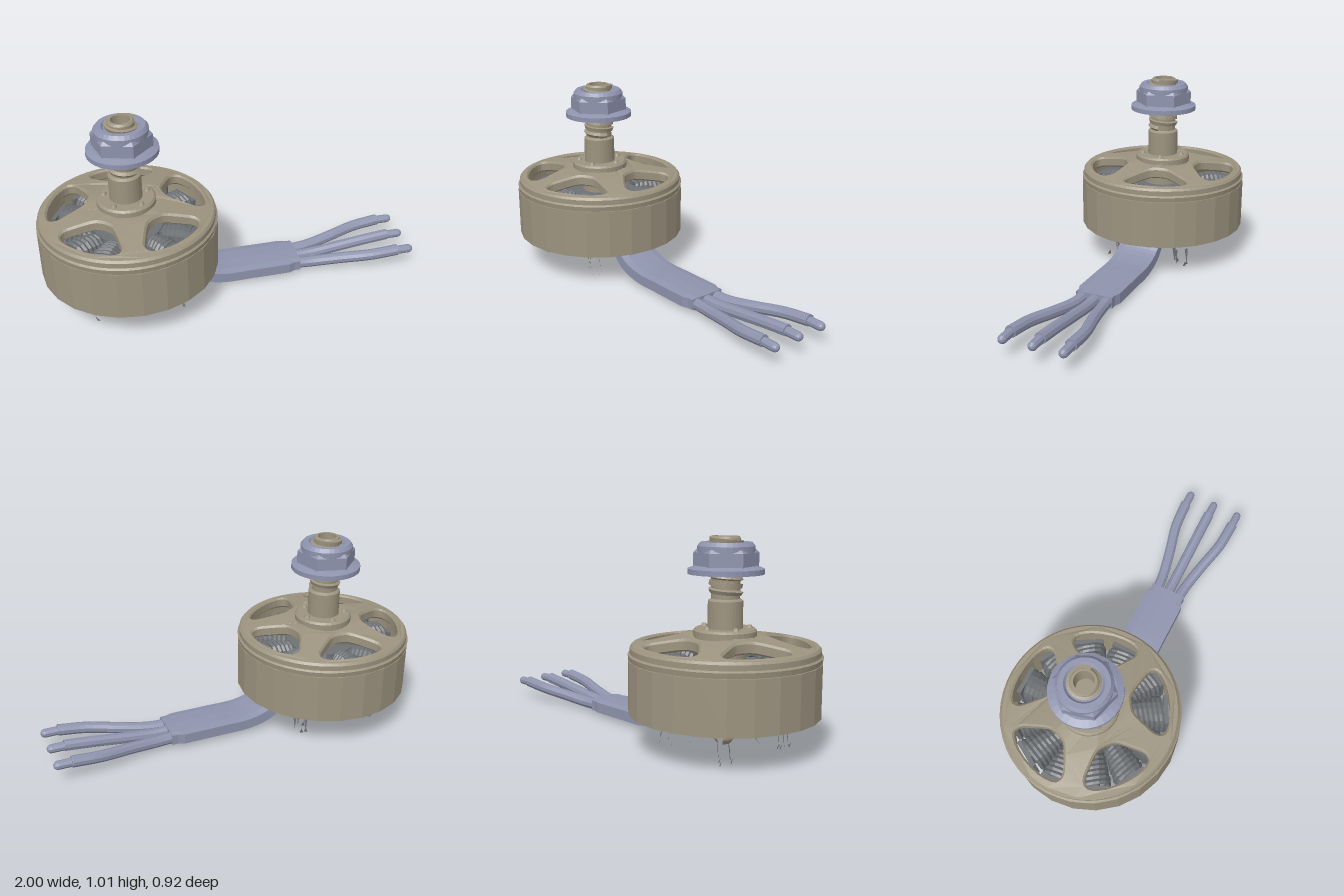
import * as THREE from 'three';
import { mergeGeometries } from 'three/addons/utils/BufferGeometryUtils.js';

const mat = (color, side = THREE.FrontSide) =>
  new THREE.MeshStandardMaterial({ color, flatShading: true, side });
const V = (x, y, z) => new THREE.Vector3(x, y, z);

export function createModel() {
  const model = new THREE.Group();
  const motor = new THREE.Group();
  motor.name = 'motor';
  motor.position.x = -0.54;
  model.add(motor);

  const metal = mat(0x9c937f), blue = mat(0x8e93ad), blueOpen = mat(0x8e93ad, THREE.DoubleSide);
  const dark = mat(0x6e7174), shardMat = mat(0x6e7174, THREE.DoubleSide);

  const add = (parent, name, geo, material) => {
    const m = new THREE.Mesh(geo, material);
    m.name = name;
    parent.add(m);
    return m;
  };
  const lathe = (pts, seg) => new THREE.LatheGeometry(pts.map(p => new THREE.Vector2(...p)), seg);

  // Rotor can and its upper rim
  add(motor, 'rotorCan', lathe([[0.42, 0.18], [0.46, 0.18], [0.46, 0.435], [0.42, 0.435], [0.42, 0.18]], 24), metal);
  add(motor, 'rotorRim', lathe([[0.41, 0.43], [0.456, 0.437], [0.46, 0.462], [0.45, 0.47],
    [0.45, 0.495], [0.41, 0.5], [0.41, 0.43]], 48), metal);

  // Sloping five-spoke top: flat plate with windows, then lifted towards the hub
  const plate = new THREE.Shape().absarc(0, 0, 0.44, 0, Math.PI * 2);
  plate.holes.push(new THREE.Path().absarc(0, 0, 0.07, 0, Math.PI * 2, true));
  const half = [[0.2, 6], [0.215, 15], [0.29, 25], [0.36, 28.5], [0.4, 25], [0.412, 12]];
  const outline = [...half.map(([r, a]) => [r, -a]), ...half.slice().reverse()];
  for (let k = 0; k < 5; k++) {
    const mid = -93 + 36 + 72 * k;
    const pts = outline.map(([r, a]) => {
      const t = THREE.MathUtils.degToRad(mid + a);
      return V(r * Math.cos(t), r * Math.sin(t), 0);
    });
    const loop = new THREE.CatmullRomCurve3(pts, true).getPoints(36).slice(0, -1);
    plate.holes.push(new THREE.Path(loop.map(p => new THREE.Vector2(p.x, p.y))));
  }
  const top = new THREE.ExtrudeGeometry(plate, {
    depth: 0.04, bevelThickness: 0.01, bevelSize: 0.01, bevelSegments: 1, curveSegments: 40
  });
  top.rotateX(-Math.PI / 2);
  const tp = top.attributes.position;
  for (let i = 0; i < tp.count; i++) {
    const r = Math.hypot(tp.getX(i), tp.getZ(i));
    tp.setY(i, tp.getY(i) + 0.455 + 0.18 * (0.45 - Math.max(r, 0.13)));
  }
  top.computeVertexNormals();
  add(motor, 'spokedTop', top, metal);

  // Hub disc with small raised pins
  add(motor, 'hub', lathe([[0.07, 0.5], [0.15, 0.5], [0.15, 0.575], [0.14, 0.585], [0.07, 0.585]], 32), metal);
  for (let k = 0; k < 5; k++) {
    const a = THREE.MathUtils.degToRad(57 + 72 * k);
    add(motor, 'hubPin', new THREE.CylinderGeometry(0.01, 0.018, 0.016, 10), metal)
      .position.set(0.115 * Math.cos(a), 0.59, 0.115 * Math.sin(a));
  }

  // Shaft with a hollow tip, helical thread on its upper part
  add(motor, 'shaft', lathe([[0, 0.02], [0.03, 0.025], [0.05, 0.05], [0.05, 0.15], [0.083, 0.17], [0.083, 0.715],
    [0.068, 0.725], [0.068, 1.005], [0.06, 1.015], [0.048, 1.015], [0.045, 0.9], [0, 0.9]], 32), metal);
  const helix = [];
  const turns = 8;
  for (let i = 0; i <= turns * 16; i++) {
    const a = i / 16 * Math.PI * 2;
    helix.push(V(0.069 * Math.cos(a), 0.737 + 0.27 * i / (turns * 16), 0.069 * Math.sin(a)));
  }
  add(motor, 'thread', new THREE.TubeGeometry(new THREE.CatmullRomCurve3(helix), turns * 24, 0.014, 4), metal);

  // Flanged hex nut
  const nut = new THREE.Group();
  nut.name = 'nut';
  motor.add(nut);
  add(nut, 'flange', lathe([[0.07, 0.84], [0.18, 0.84], [0.18, 0.865], [0.145, 0.878], [0.07, 0.878]], 32), blue);
  const hex = add(nut, 'hexBody', lathe([[0.07, 0.865], [0.153, 0.865], [0.153, 0.94], [0.138, 0.956], [0.07, 0.956]], 6), blue);
  hex.rotation.y = 0.24;
  add(nut, 'collar', lathe([[0.07, 0.94], [0.135, 0.94], [0.135, 0.97], [0.12, 0.988], [0.095, 0.988],
    [0.085, 0.975], [0.07, 0.975]], 32), blue);

  // Bearing tube, retaining clip and end ring below the rotor
  add(motor, 'bearingTube', lathe([[0.05, 0.1], [0.085, 0.1], [0.085, 0.13], [0.1, 0.15], [0.1, 0.47], [0.08, 0.47]], 28), metal);
  add(motor, 'retainingClip', new THREE.CylinderGeometry(0.12, 0.12, 0.012, 24).translate(0, 0.092, 0), dark);
  add(motor, 'endRing', new THREE.CylinderGeometry(0.065, 0.06, 0.025, 20).translate(0, 0.07, 0), metal);

  // Stator: core ring, twelve teeth and their windings
  const stator = new THREE.Group();
  stator.name = 'stator';
  motor.add(stator);
  add(stator, 'statorCore', lathe([[0.1, 0.21], [0.18, 0.21], [0.18, 0.42], [0.1, 0.42], [0.1, 0.21]], 36), dark);
  const windings = [];
  for (let i = 0; i < 7; i++) {
    const r = 0.205 + i * 0.025, w = 0.2 * r + 0.004 * (i % 2), h = 0.105 + 0.012 * Math.sin(i / 6 * Math.PI);
    const ring = [];
    for (const [y, z] of [[-1, 0], [-0.88, 0.75], [0, 1], [0.88, 0.75], [1, 0], [0.88, -0.75], [0, -1], [-0.88, -0.75]])
      ring.push(V(r + 0.008 * z, 0.31 + (h + 0.02) * y, w * z));
    windings.push(new THREE.TubeGeometry(new THREE.CatmullRomCurve3(ring, true), 24, 0.0145, 6, true));
  }
  const coil = mergeGeometries(windings);
  const tooth = new THREE.BoxGeometry(0.22, 0.2, 0.05).translate(0.27, 0.315, 0);
  const tip = new THREE.BoxGeometry(0.022, 0.21, 0.15).translate(0.384, 0.315, 0);
  for (let k = 0; k < 12; k++) {
    const g = new THREE.Group();
    g.name = 'statorTooth';
    g.rotation.y = k * Math.PI / 6;
    add(g, 'winding', coil, dark);
    add(g, 'tooth', tooth, dark);
    add(g, 'toothTip', tip, dark);
    stator.add(g);
  }

  // Thin base remnants: slivers around four mounting points
  let seed = 7;
  const rnd = () => (seed = (seed * 16807) % 2147483647) / 2147483647;
  const slivers = [];
  for (const sx of [-1, 1]) for (const sz of [-1, 1]) {
    for (let i = 0; i < 6; i++) {
      const a = rnd() * 6.28, x = sx * 0.2 + 0.035 * Math.cos(a), z = sz * 0.2 + 0.035 * Math.sin(a);
      const y = i % 2 ? 0.1 : 0.005, d = i % 2 ? -0.09 : 0.03;
      slivers.push(V(x, y, z), V(x + 0.016, y, z + 0.012), V(x + 0.01 * sx, y + d, z));
    }
    // Larger triangular web towards the centre
    slivers.push(V(sx * 0.08, 0.1, sz * 0.08), V(sx * 0.06, 0.1, sz * 0.11), V(sx * 0.11, 0.01, sz * 0.14));
  }
  add(motor, 'baseRemnants', new THREE.BufferGeometry().setFromPoints(slivers), shardMat).geometry.computeVertexNormals();

  // Flat cable sleeve: a tube widened and squared off sideways
  const path = new THREE.CatmullRomCurve3([V(-0.36, 0.2, 0), V(-0.27, 0.16, 0), V(-0.18, 0.09, 0),
    V(-0.07, 0.058, 0), V(0.1, 0.055, 0), V(0.37, 0.055, 0)]);
  const sleeve = new THREE.TubeGeometry(path, 24, 0.039, 16);
  const sp = sleeve.attributes.position;
  for (let i = 0; i < sp.count; i++) {
    const limit = sp.getX(i) > 0.33 ? 0.1 : 0.113;
    sp.setZ(i, THREE.MathUtils.clamp(sp.getZ(i) * 5, -limit, limit));
  }
  sleeve.computeVertexNormals();
  const cable = new THREE.Group();
  cable.name = 'cable';
  model.add(cable);
  add(cable, 'sleeve', sleeve, blueOpen);
  add(cable, 'sleeveEnd', new THREE.BoxGeometry(0.01, 0.058, 0.195).translate(0.364, 0.055, 0), blue);

  // Three fanned-out wires with slimmer rounded tips
  for (const s of [-1, 0, 1]) {
    const wire = new THREE.CatmullRomCurve3([V(0.34, 0.052, s * 0.065), V(0.45, 0.053, s * 0.075),
      V(0.6, 0.07, s * 0.105), V(0.76, 0.09, s * 0.143), V(0.91, 0.105, s * 0.153)]);
    add(cable, 'wire', new THREE.TubeGeometry(wire, 16, 0.03, 10), blueOpen);
    add(cable, 'wireEnd', new THREE.CylinderGeometry(0.03, 0.03, 0.006, 10), blue)
      .position.set(0.907, 0.105, s * 0.153);
    cable.children.at(-1).rotation.z = Math.PI / 2;
    const tipMesh = add(cable, 'wireTip', new THREE.CapsuleGeometry(0.023, 0.07, 4, 10), blue);
    tipMesh.rotation.z = Math.PI / 2;
    tipMesh.position.set(0.942, 0.102, s * 0.153);
  }
  return model;
}
